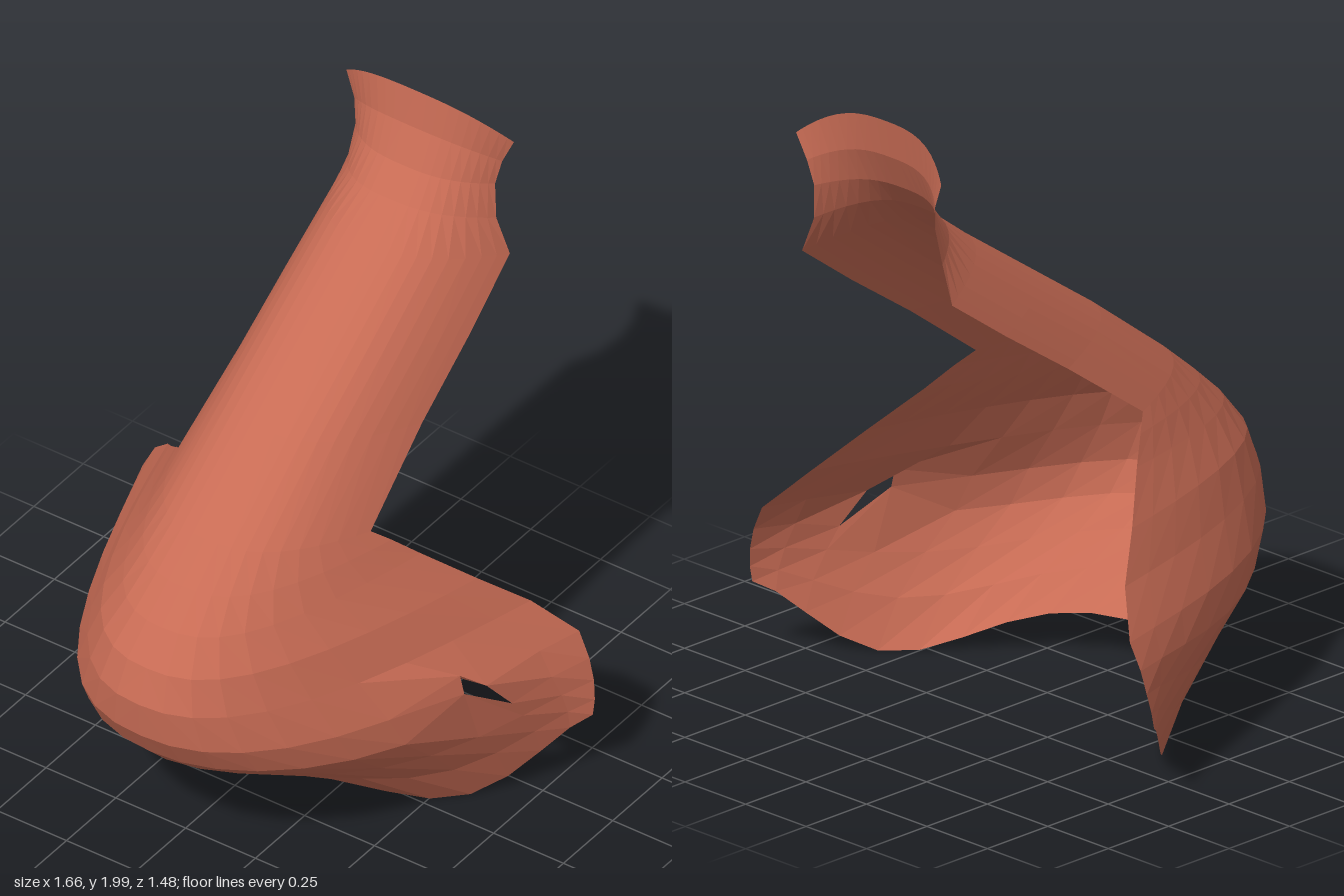
import * as THREE from 'three';

const SEGMENTS = 10;

// Bridge stations: crest y, z and open edge x, y, z, from the flared rim down
const BRIDGE = [
  [2, -0.67, 0.3, 1.9, -0.74],
  [1.88, -0.65, 0.265, 1.82, -0.73],
  [1.77, -0.6, 0.25, 1.74, -0.715],
  [1.69, -0.53, 0.265, 1.63, -0.7],
  [1.6, -0.41, 0.31, 1.515, -0.705],
  [1.42, -0.15, 0.32, 1.36, -0.49],
  [1.24, 0.11, 0.325, 1.19, -0.24],
  [1.02, 0.4, 0.345, 0.98, 0.05],
];

// Tip and wing stations: the same, then curve power and depth of the nostril dip
const WINGS = [
  [0.92, 0.52, 0.385, 0.935, 0, 2.7, 0],
  [0.83, 0.62, 0.44, 0.865, -0.07, 2.6, 0],
  [0.73, 0.7, 0.55, 0.74, -0.2, 2.5, 0],
  [0.62, 0.74, 0.65, 0.62, -0.33, 2.4, 0.01],
  [0.5, 0.73, 0.76, 0.5, -0.42, 2.4, 0.02],
  [0.41, 0.68, 0.8, 0.42, -0.415, 2.3, 0.04],
  [0.33, 0.6, 0.82, 0.35, -0.41, 1.9, 0.07],
  [0.25, 0.49, 0.83, 0.29, -0.4, 1.55, 0.12],
  [0.15, 0.33, 0.83, 0.24, -0.39, 1.4, 0.195],
];

// Small tear in the left wing, at this cell of the loft
const TEAR_ROW = BRIDGE.length + 4, TEAR_COL = 7;

// Power curve sweeping back from crest to edge, sagging beside the nostril
function section([cy, cz, ex, ey, ez, power = 2.8, dip = 0]) {
  return Array.from({ length: SEGMENTS + 1 }, (_, j) => {
    const s = Math.sin(1.2 * j / SEGMENTS) / Math.sin(1.2);
    const f = s ** power;
    const sag = dip * Math.sin(Math.PI * s ** 1.8) ** 1.6;
    return [ex * s, cy + (ey - cy) * f - sag, cz + (ez - cz) * f];
  });
}

// Pulls the corners of the tear cell into a narrow slit
function shapeTear(grid) {
  grid[TEAR_ROW][TEAR_COL] = [0.63, 0.54, 0];
  grid[TEAR_ROW + 1][TEAR_COL] = [0.645, 0.48, 0];
  grid[TEAR_ROW + 1][TEAR_COL + 1] = [0.71, 0.38, -0.15];
  grid[TEAR_ROW][TEAR_COL + 1] = [0.675, 0.48, -0.07];
}

// Lofts one half of the shell; side is +1 for left, -1 for right
function halfShell(side) {
  const isLeft = side > 0;
  const grid = [...BRIDGE, ...WINGS].map(section);
  if (isLeft) shapeTear(grid);

  const positions = [];
  const triangle = (...corners) => {
    if (!isLeft) corners.reverse();
    for (const [x, y, z] of corners) positions.push(x * side, y, z);
  };
  for (let i = 0; i < grid.length - 1; i++) {
    for (let j = 0; j < SEGMENTS; j++) {
      if (isLeft && i === TEAR_ROW && j === TEAR_COL) continue;
      const a = grid[i][j], b = grid[i + 1][j], c = grid[i + 1][j + 1], d = grid[i][j + 1];
      triangle(a, b, c);
      triangle(a, c, d);
    }
  }
  const geometry = new THREE.BufferGeometry();
  geometry.setAttribute('position', new THREE.Float32BufferAttribute(positions, 3));
  geometry.computeVertexNormals();
  return geometry;
}

export function createModel() {
  const skin = new THREE.MeshStandardMaterial({ color: 0xc76b54, flatShading: true, side: THREE.DoubleSide });
  skin.name = 'terracotta skin';

  const nose = new THREE.Group();
  nose.name = 'nose';
  for (const [name, side] of [['leftHalf', 1], ['rightHalf', -1]]) {
    const mesh = new THREE.Mesh(halfShell(side), skin);
    mesh.name = name;
    nose.add(mesh);
  }
  return nose;
}
